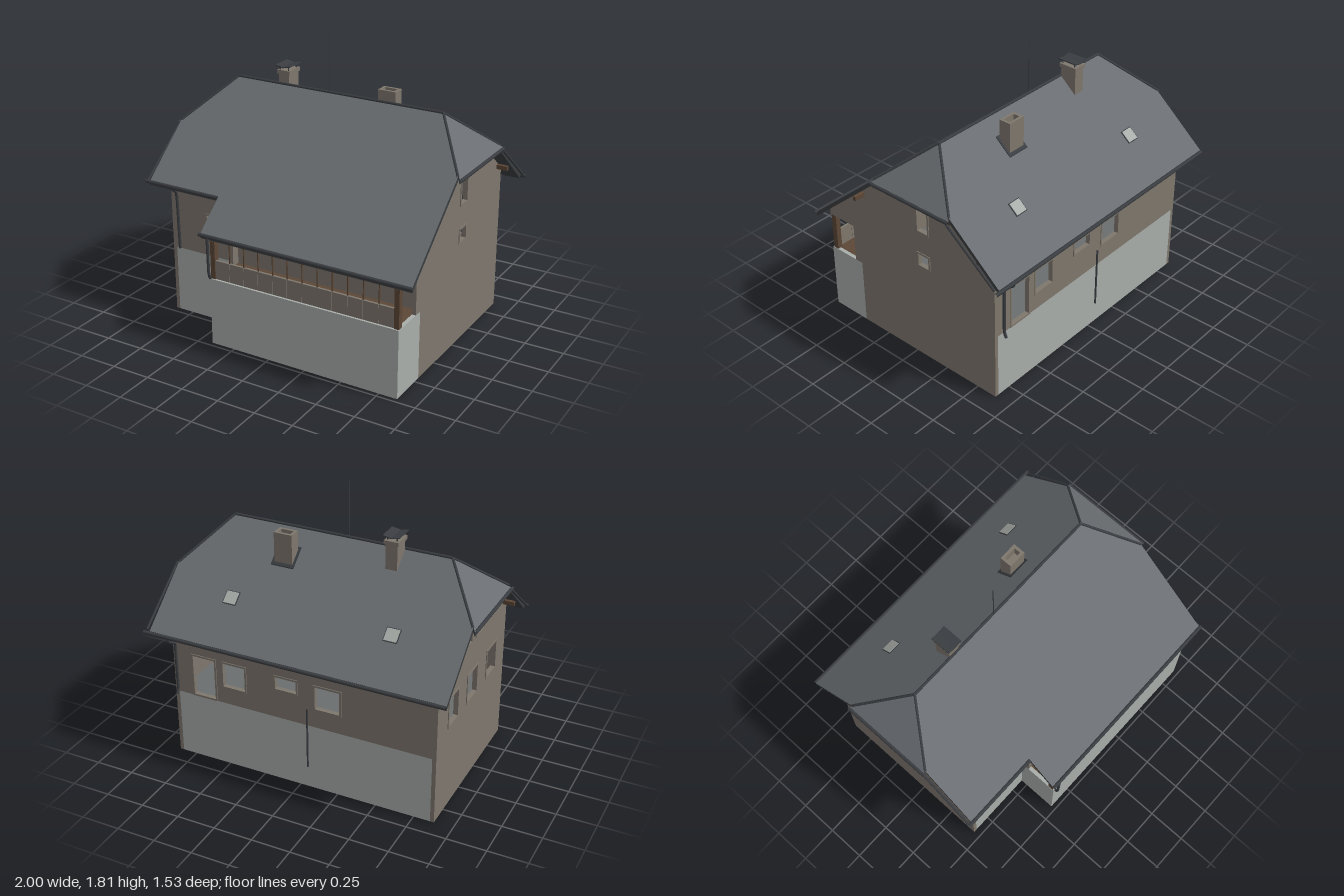
import * as THREE from 'three';

const mat = (name, color, side = THREE.FrontSide) => {
  const m = new THREE.MeshStandardMaterial({ color, side });
  m.name = name;
  return m;
};

export function createModel() {
  const house = new THREE.Group();
  house.name = 'house';
  const wallMat = mat('brown wall', 0x7e776d);
  const plaster = mat('grey plaster', 0xa9aeaa);
  const slate = mat('slate', 0x6a6e72);
  const metal = mat('dark metal', 0x3a3d41);
  const wood = mat('dark wood', 0x5c4736);
  const concrete = mat('floor concrete', 0x6b6e6e);

  const add = (name, geo, material, parent = house) => {
    const mesh = new THREE.Mesh(geo, material);
    mesh.name = name;
    parent.add(mesh);
    return mesh;
  };
  // Box given by its minimum and maximum corners
  const box = (name, a, b, material, parent) => {
    const m = add(name, new THREE.BoxGeometry(b[0] - a[0], b[1] - a[1], b[2] - a[2]), material, parent);
    m.position.set((a[0] + b[0]) / 2, (a[1] + b[1]) / 2, (a[2] + b[2]) / 2);
    return m;
  };
  const toShape = (pts, holes = []) => {
    const s = new THREE.Shape(pts.map(p => new THREE.Vector2(...p)));
    holes.forEach(([u0, v0, u1, v1]) => s.holes.push(new THREE.Path(
      rect(u0, v0, u1, v1).reverse().map(p => new THREE.Vector2(...p)))));
    return s;
  };
  const rect = (u0, v0, u1, v1) => [[u0, v0], [u1, v0], [u1, v1], [u0, v1]];
  const extrude = (shape, depth) => new THREE.ExtrudeGeometry(shape, { depth, bevelEnabled: false });

  const T = 0.025; // wall thickness
  // Wall across x: outer face at z, dir is +1 for front and -1 for back
  const crossWall = (name, pts, holes, z, dir, material) => {
    add(name, extrude(toShape(pts, holes), T), material).position.z = dir > 0 ? z - T : z;
    holes.forEach(([a, b, c, d]) => {
      const f = add(name + 'WindowFrame', extrude(toShape(
        rect(a - 0.012, b - 0.012, c + 0.012, d + 0.012), [[a, b, c, d]]), 0.005), wallMat);
      f.position.z = dir > 0 ? z : z - 0.005;
    });
  };
  // Wall along z: outline in (z, y), outer face at x
  const sideWall = (name, pts, holes, x, dir, material, frames = true) => {
    const place = (n, shape, d, x1) => {
      const g = extrude(shape, d);
      g.rotateY(-Math.PI / 2);
      add(n, g, material).position.x = x1;
    };
    place(name, toShape(pts, holes), T, dir > 0 ? x : x + T);
    if (frames) holes.forEach(([a, b, c, d]) => place(name + 'WindowFrame', toShape(
      rect(a - 0.012, b - 0.012, c + 0.012, d + 0.012), [[a, b, c, d]]), 0.005, dir > 0 ? x + 0.005 : x));
  };

  // Roof rule
  const RZ = -0.095, RY = 1.45, K = 0.855;
  const XL = -0.97, XR = 0.957, RL = -0.72, RR = 0.715, HF = 0.2, HB = -0.39;
  const slopeY = (x, z) => RY - K * Math.abs(z - RZ);
  const hipY = x => RY - 1.02 * (x > 0 ? x - RR : RL - x);
  const under = z => slopeY(0, z) - 0.032;

  // Gable walls with clipped tops
  const gable = [[-0.64, 0], [0.455, 0], [0.455, under(0.455)], [0.12, under(0.12)], [-0.31, under(-0.31)], [-0.64, under(-0.64)]];
  sideWall('rightGable', gable, [[-0.13, 0.675, -0.05, 0.755], [-0.13, 0.92, -0.05, 1.12]], 0.87, 1, wallMat);
  sideWall('leftGable', gable, [[-0.47, 0.57, -0.335, 0.75], [-0.18, 0.57, -0.03, 0.75], [0.14, 0.57, 0.29, 0.75],
    [-0.27, 0.97, -0.15, 1.13], [-0.07, 0.97, 0.05, 1.13]], -0.88, -1, wallMat);

  // Front and back walls
  crossWall('backBase', rect(-0.855, 0, 0.845, 0.44), [], -0.64, -1, plaster);
  crossWall('backWall', rect(-0.855, 0.44, 0.845, under(-0.64)),
    [[0.58, 0.452, 0.73, 0.72], [0.37, 0.56, 0.52, 0.72], [0.02, 0.64, 0.16, 0.72], [-0.265, 0.57, -0.105, 0.72]], -0.64, -1, wallMat);
  crossWall('frontBase', rect(-0.855, 0, -0.41, 0.44), [], 0.455, 1, plaster);
  crossWall('frontWall', rect(-0.855, 0.44, 0.845, under(0.455)),
    [[-0.61, 0.555, -0.46, 0.71], [-0.265, 0.565, -0.105, 0.71], [0.44, 0.565, 0.585, 0.71]], 0.455, 1, wallMat);
  box('smallShutter', [0.025, 0.675, 0.455], [0.11, 0.73, 0.463], metal);

  // Projecting terrace: base, end walls, floor
  crossWall('terraceBase', rect(-0.41, 0, 0.87, 0.44), [], 0.72, 1, plaster);
  for (const [x, dir] of [[0.87, 1], [-0.41, -1]]) {
    sideWall('terraceBaseSide', rect(0.455, 0, 0.695, 0.44), [], x, dir, plaster);
    sideWall('terraceEnd', [[0.455, 0.44], [0.51, 0.44], [0.51, 0.69], [0.715, 0.69], [0.715, under(0.715)], [0.455, under(0.455)]],
      [], x, dir, wallMat, false);
    const px = dir > 0 ? 0.835 : -0.408;
    box('terracePost', [px, 0.44, 0.675], [px + 0.032, 0.73, 0.712], wood);
  }
  box('terraceFloor', [-0.385, 0.425, 0.44], [0.845, 0.442, 0.695], wood);
  box('houseFloor', [-0.855, 0.42, -0.615], [0.845, 0.44, 0.44], concrete);
  box('terraceBeam', [-0.4, 0.712, 0.68], [0.86, 0.735, 0.71], wood);

  // Terrace balustrade boards and slim uprights
  const balustrade = new THREE.Group();
  balustrade.name = 'balustrade';
  house.add(balustrade);
  for (let i = 0; i < 12; i++) {
    const x = -0.376 + i * 0.101;
    box('board', [x, 0.44, 0.69], [x + 0.099, 0.562, 0.706], wallMat, balustrade);
    if (i) box('upright', [x - 0.004, 0.56, 0.694], [x + 0.002, 0.715, 0.702], wood, balustrade);
  }

  // Roof slabs: plan shape extruded, then lifted onto the slope
  const slab = (name, plan, h, top, t, mats) => {
    const g = extrude(toShape(plan.map(([x, z]) => [x, -z])), t);
    g.rotateX(-Math.PI / 2);
    const p = g.attributes.position;
    for (let i = 0; i < p.count; i++) p.setY(i, p.getY(i) + h(p.getX(i), p.getZ(i)) + top - t);
    g.computeVertexNormals();
    add(name, g, mats);
  };
  const front = [[RL, RZ], [XL, HF], [XL, 0.545], [-0.455, 0.545], [-0.455, 0.74], [XR, 0.74], [XR, HF], [RR, RZ]];
  const back = [[RL, RZ], [RR, RZ], [XR, HB], [XR, -0.75], [XL, -0.75], [XL, HB]];
  const planes = [['frontRoof', front, slopeY], ['backRoof', back, slopeY],
    ['rightHip', [[RR, RZ], [XR + 0.015, HF + 0.01], [XR + 0.015, HB - 0.01]], hipY],
    ['leftHip', [[RL, RZ], [XL - 0.015, HB - 0.01], [XL - 0.015, HF + 0.01]], hipY]];
  for (const [name, plan, h] of planes) {
    slab(name, plan, h, 0, 0.018, [slate, metal]);
    slab(name + 'Soffit', plan, h, -0.018, 0.012, [metal, metal]);
  }

  // Pipes, gutters and ridge caps
  const pipe = (name, pts, r, material = metal) => {
    const path = new THREE.CurvePath();
    const v = pts.map(p => new THREE.Vector3(...p));
    for (let i = 1; i < v.length; i++) path.add(new THREE.LineCurve3(v[i - 1], v[i]));
    add(name, new THREE.TubeGeometry(path, (v.length - 1) * 6, r, 8), material);
  };
  pipe('ridgeCap', [[RL, RY, RZ], [RR, RY, RZ]], 0.009);
  for (const [rx, x] of [[RL, XL], [RR, XR]]) {
    const s = Math.sign(x);
    for (const z of [HF, HB]) pipe('hipCap', [[rx, RY, RZ], [x, slopeY(x, z), z]], 0.008);
    pipe('hipGutter', [[x + s * 0.02, 1.178, HF + 0.01], [x + s * 0.02, 1.178, HB - 0.01]], 0.011);
  }
  pipe('rightVergePipe', [[0.98, 1.17, HB], [0.98, slopeY(0, -0.74) - 0.005, -0.74]], 0.008);
  pipe('leftVergePipe', [[-0.988, 1.17, HF], [-0.988, slopeY(0, 0.54) - 0.005, 0.54]], 0.008);
  pipe('frontGutter', [[-0.46, 0.733, 0.75], [0.965, 0.733, 0.75]], 0.012);
  pipe('frontLeftGutter', [[-0.995, 0.897, 0.553], [-0.455, 0.897, 0.553]], 0.012);
  pipe('backGutter', [[-0.97, 0.88, -0.758], [0.995, 0.88, -0.758]], 0.012);
  pipe('frontDownpipe', [[-0.4, 0.73, 0.75], [-0.4, 0.48, 0.745], [-0.4, 0.45, 0.73]], 0.009);
  pipe('frontLeftDownpipe', [[-0.815, 0.89, 0.55], [-0.815, 0.83, 0.485], [-0.815, 0.45, 0.475]], 0.009);
  pipe('backDownpipe', [[0.83, 0.88, -0.755], [0.83, 0.84, -0.74], [0.83, 0.8, -0.675], [0.83, 0.48, -0.675], [0.83, 0.45, -0.69]], 0.009);
  pipe('backPole', [[-0.055, 0.15, -0.65], [-0.055, 0.56, -0.65]], 0.006);
  pipe('antenna', [[-0.06, 1.44, RZ + 0.005], [-0.06, 1.81, RZ + 0.005]], 0.003);

  // Purlin ends carrying the overhangs
  for (const z of [0.4, 0.2, -0.38, -0.58])
    box('purlin', [-0.95, under(z) - 0.035, z - 0.012], [0.94, under(z) - 0.008, z + 0.012], wood);

  // Skylights on the back slope
  for (const x of [-0.53, 0.52]) {
    const light = new THREE.Group();
    light.name = 'skylight';
    light.position.set(x, slopeY(x, -0.505) + 0.003, -0.505);
    light.rotation.x = -Math.atan(K);
    house.add(light);
    box('skylightFrame', [-0.045, -0.004, -0.044], [0.045, 0.002, 0.044], metal, light);
    box('skylightPane', [-0.04, 0, -0.039], [0.04, 0.005, 0.039], plaster, light);
  }

  // Capped chimney
  box('chimney', [-0.425, 1.3, -0.21], [-0.35, 1.515, -0.1], wallMat);
  box('chimneyCollar', [-0.434, 1.51, -0.217], [-0.341, 1.535, -0.093], wallMat);
  for (const s of [-1, 1]) {
    const cap = add('chimneyCap', new THREE.BoxGeometry(0.054, 0.006, 0.135), metal);
    cap.position.set(-0.387 + s * 0.026, 1.56, -0.153);
    cap.rotation.z = s * 0.2;
    for (const z of [-0.2, -0.11])
      box('capLeg', [-0.39 + s * 0.03, 1.53, z], [-0.384 + s * 0.03, 1.56, z + 0.006], metal);
  }

  // Open chimney with hollow flue
  const flue = extrude(toShape(rect(0.22, 0.21, 0.34, 0.29), [[0.238, 0.228, 0.322, 0.272]]), 0.24);
  flue.rotateX(-Math.PI / 2);
  add('openChimney', flue, wallMat).position.y = 1.24;
  box('flueFloor', [0.235, 1.4, -0.275], [0.325, 1.41, -0.225], wallMat);
  slab('chimneyFlashing', [[0.205, -0.197], [0.205, -0.305], [0.357, -0.305], [0.357, -0.197]], slopeY, 0.006, 0.008, [metal, metal]);

  return house;
}
